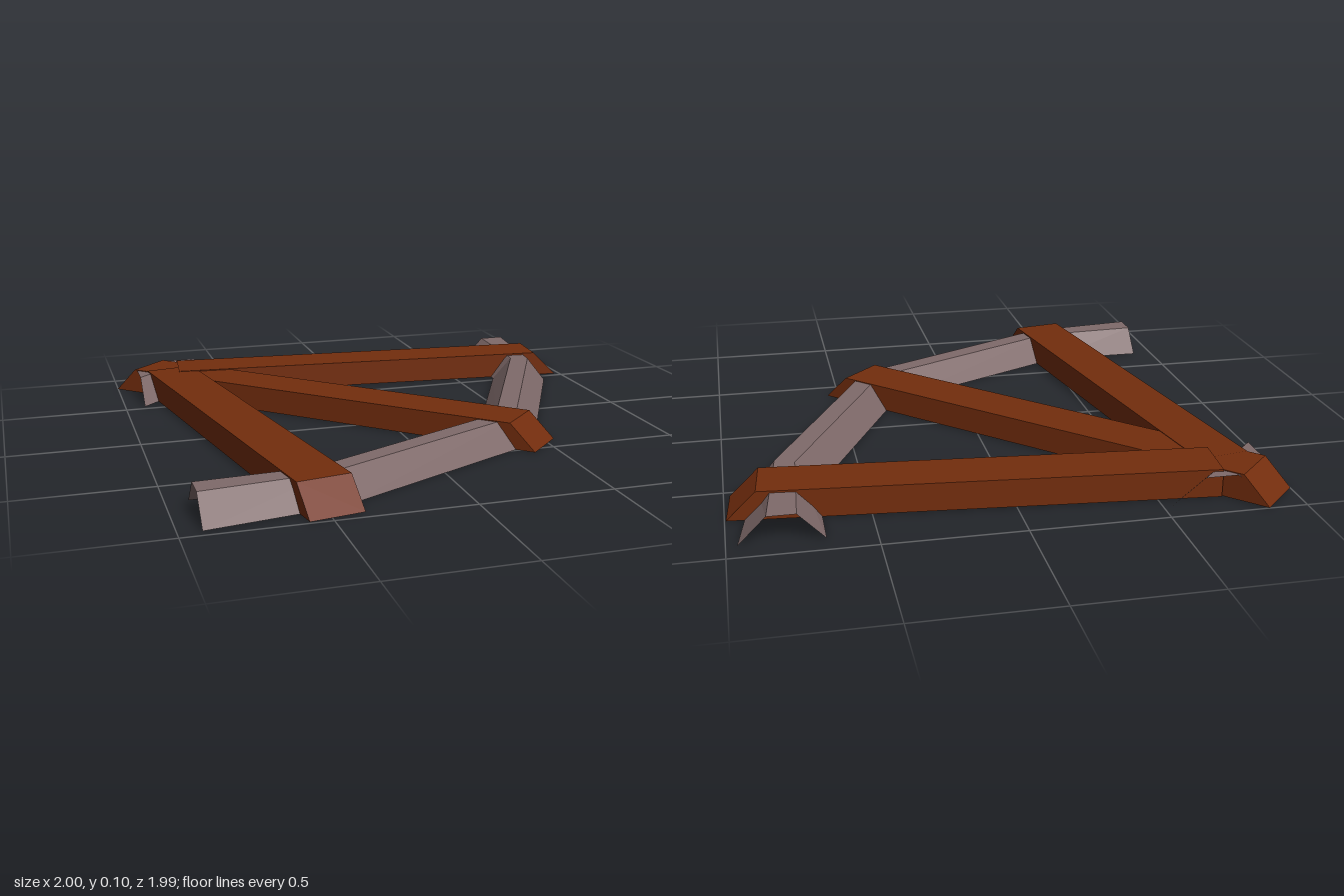
import * as THREE from 'three';

// Flat-shaded surface lofted through rows of points
function loft(rows) {
  const pos = [];
  for (let i = 0; i < rows.length - 1; i++) {
    for (let j = 0; j < rows[i].length - 1; j++) {
      const a = rows[i][j], b = rows[i][j + 1], c = rows[i + 1][j + 1], d = rows[i + 1][j];
      for (const p of [a, d, c, a, c, b]) pos.push(...p);
    }
  }
  const geo = new THREE.BufferGeometry();
  geo.setAttribute('position', new THREE.Float32BufferAttribute(pos, 3));
  geo.computeVertexNormals();
  return geo;
}

export function createModel() {
  const model = new THREE.Group();
  const wood = new THREE.MeshStandardMaterial({ color: 0x732d0d, side: THREE.DoubleSide });
  wood.name = 'brown wood';
  const stone = new THREE.MeshStandardMaterial({ color: 0x7f6a6a, side: THREE.DoubleSide });
  stone.name = 'grey stone';

  const add = (parent, name, geo, mat) => {
    const mesh = new THREE.Mesh(geo, mat);
    mesh.name = name;
    parent.add(mesh);
  };

  // Hollow beam, open below, with sloped ends; from and to are [x, z] of the top face
  function beam(name, from, to, height, startSlope) {
    const dx = to[0] - from[0], dz = to[1] - from[1];
    const len = Math.hypot(dx, dz), w = 0.1, slope = 0.105;
    const group = new THREE.Group();
    group.name = name;
    const line = [[-startSlope, 0], [0, height], [len, height], [len + slope, 0]];
    if (!startSlope) line.shift();
    add(group, 'beamTopAndEnds', loft(line.map(([z, y]) => [[-w, y, z], [w, y, z]])), wood);
    for (const s of [-1, 1]) {
      const low = [s * w, 0, -startSlope], lowEnd = [s * w, 0, len + slope];
      const high = [s * w, height, 0], highEnd = [s * w, height, len];
      const rows = s > 0 ? [[high, low], [highEnd, lowEnd]] : [[low, high], [lowEnd, highEnd]];
      add(group, s > 0 ? 'beamLeftWall' : 'beamRightWall', loft(rows), wood);
    }
    group.position.set(from[0], 0, from[1]);
    group.rotation.y = Math.atan2(dx, dz);
    model.add(group);
  }
  beam('diagonalBeam', [-0.858, -0.855], [0.4, 0.4], 0.101, 0.103);
  beam('backBeam', [-0.74, -0.78], [0.882, -0.637], 0.105, 0);
  beam('sideBeam', [-0.78, -0.755], [-0.498, 0.868], 0.103, 0);

  // Bent cross rail: a raised ridge with sloping sides, mirrored about the diagonal
  const heights = [0, 0.098, 0.098, 0];
  const row = (xs, zs) => heights.map((y, i) => [xs[i], y, zs[i]]);
  const back = -0.92;
  const half = [
    row([0.67, 0.765, 0.865, 0.963], [back, back, back, back]),
    row([0.67, 0.742, 0.813, 0.885], [-0.53, -0.5, -0.47, -0.44]),
  ];
  const mid = [0.274, 0.33, 0.387, 0.443];
  const mirrored = half.map(r => r.map(([x, y, z]) => [z, y, x])).reverse();
  add(model, 'outerRail', loft([...half, row(mid, mid), ...mirrored]), stone);

  // Short inner rail near the meeting point, cut off square with the two sides
  const cut = [-0.89, -0.77, -0.65, -0.53], edge = [back, back, back, back];
  add(model, 'innerRail', loft([row(cut, edge), row(edge, cut)]), stone);

  return model;
}
